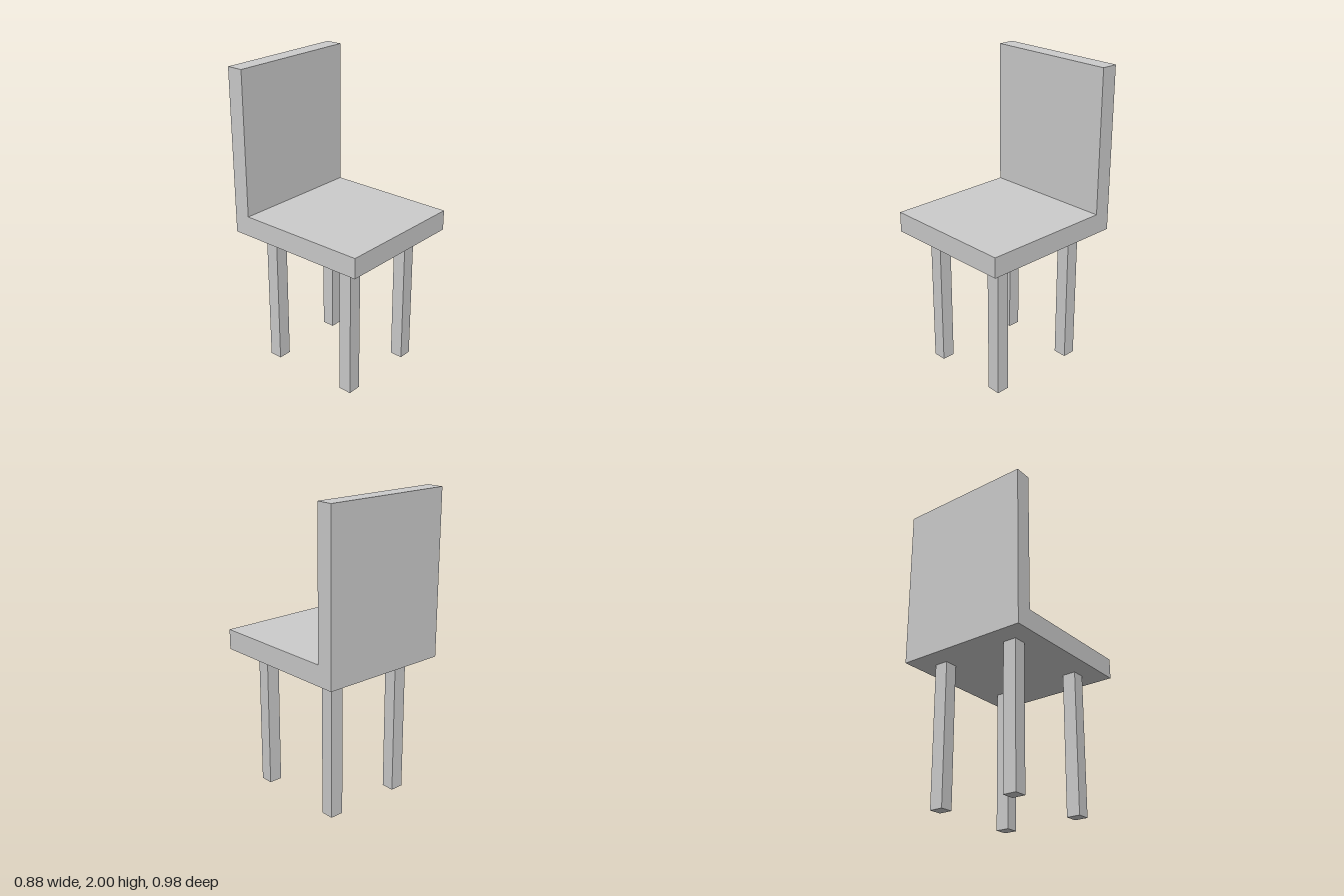
import * as THREE from 'three';

const WIDTH = 0.884, DEPTH = 0.983;
const SEAT_BOTTOM = 0.927, SEAT_TOP = 1.06, TOP = 2;
const BACK_THICKNESS = 0.111;
const LEG = { width: 0.09, depth: 0.086, x: 0.269, z: 0.309 };

export function createModel() {
  const chair = new THREE.Group();
  chair.name = 'chair';
  const material = new THREE.MeshStandardMaterial({ color: 0xcccccc, flatShading: true });

  // Seat and backrest: one L-shaped side profile (z, y) extruded across the width
  const front = DEPTH / 2, rear = -DEPTH / 2, backFace = rear + BACK_THICKNESS;
  const profile = new THREE.Shape([
    [rear, SEAT_BOTTOM], [front, SEAT_BOTTOM], [front, SEAT_TOP],
    [backFace, SEAT_TOP], [backFace, TOP], [rear, TOP],
  ].map(([z, y]) => new THREE.Vector2(z, y)));
  const seatGeometry = new THREE.ExtrudeGeometry(profile, { depth: WIDTH, bevelEnabled: false });
  seatGeometry.translate(0, 0, -WIDTH / 2).rotateY(-Math.PI / 2);
  const seat = new THREE.Mesh(seatGeometry, material);
  seat.name = 'seatAndBackrest';
  chair.add(seat);

  // Four straight square legs, set in from the seat edges
  const legGeometry = new THREE.BoxGeometry(LEG.width, SEAT_BOTTOM, LEG.depth);
  for (const [zName, zSign] of [['front', 1], ['back', -1]]) {
    for (const [xName, xSign] of [['Left', 1], ['Right', -1]]) {
      const leg = new THREE.Mesh(legGeometry, material);
      leg.name = `${zName}${xName}Leg`;
      leg.position.set(xSign * LEG.x, SEAT_BOTTOM / 2, zSign * LEG.z);
      chair.add(leg);
    }
  }
  return chair;
}
